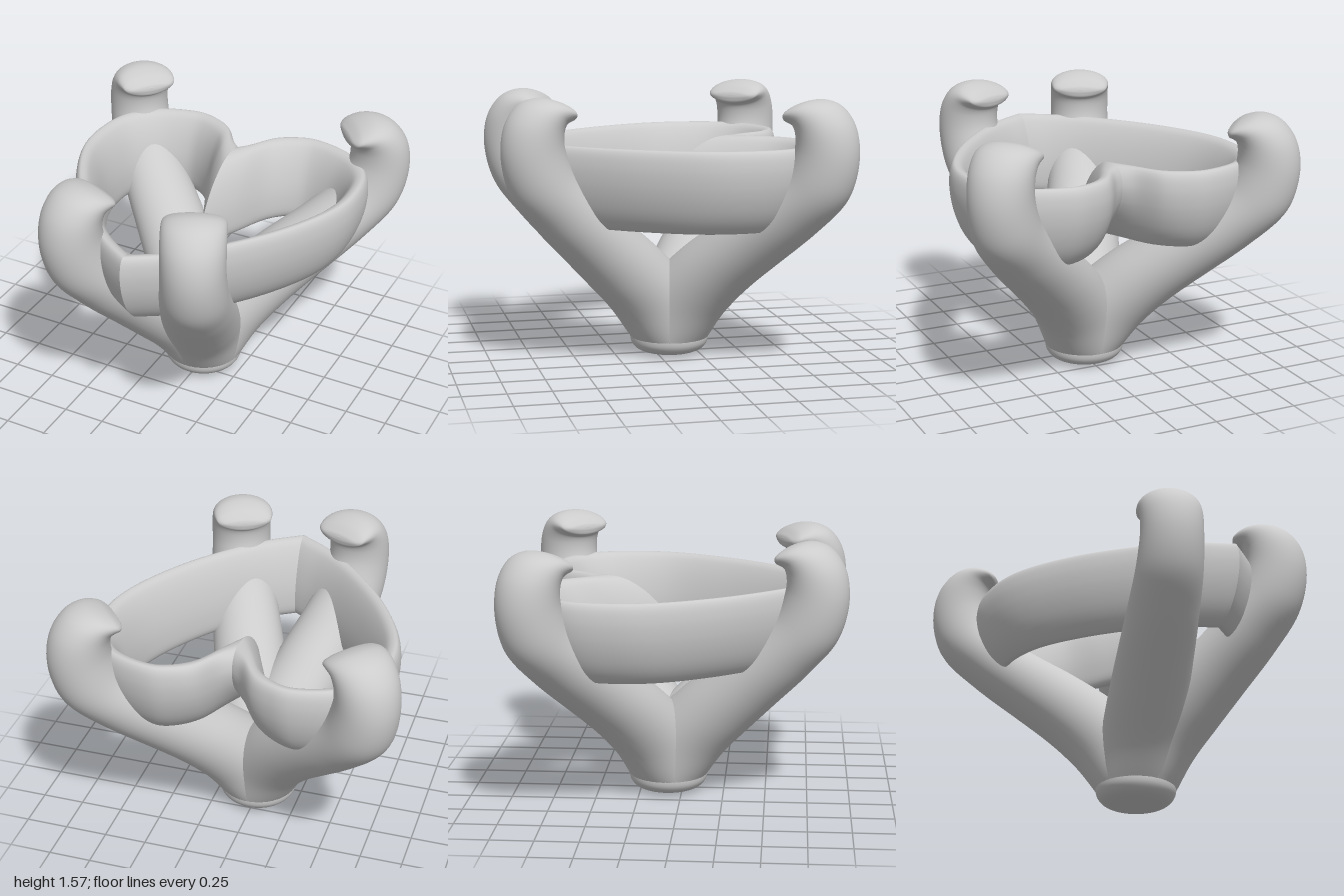
import * as THREE from 'three';

const V = (x, y, z) => new THREE.Vector3(x, y, z);
const BASE_Z = -0.085;
const material = new THREE.MeshStandardMaterial({ color: 0xcccccc, side: THREE.DoubleSide });

// Skin a list of closed rings (arrays of Vector3) with smooth normals
function loft(rings, flip = false) {
  const n = rings[0].length, pos = [], index = [];
  rings.forEach(ring => ring.forEach(p => pos.push(p.x, p.y, p.z)));
  for (let i = 0; i < rings.length - 1; i++) {
    for (let j = 0; j < n; j++) {
      const a = i * n + j, b = i * n + (j + 1) % n, c = b + n, d = a + n;
      if (flip) index.push(a, d, b, b, d, c);
      else index.push(a, b, d, b, c, d);
    }
  }
  const g = new THREE.BufferGeometry();
  g.setAttribute('position', new THREE.Float32BufferAttribute(pos, 3));
  g.setIndex(index);
  g.computeVertexNormals();
  return g;
}

function add(group, name, geometry) {
  const mesh = new THREE.Mesh(geometry, material);
  mesh.name = name;
  group.add(mesh);
  return mesh;
}

// Prong stations: inner radius, inner y, outer radius, outer y, half width
const STATIONS = [
  [-0.235, 0.1, 0.235, 0.1, 0.235],
  [-0.15, 0.38, 0.355, 0.26, 0.235],
  [0.1, 0.64, 0.52, 0.43, 0.23],
  [0.33, 0.83, 0.68, 0.59, 0.22],
  [0.55, 1.0, 0.9, 0.81, 0.205],
  [0.71, 1.16, 1.07, 1.02, 0.19],
  [0.77, 1.3, 1.13, 1.25, 0.18],
  [0.775, 1.38, 1.1, 1.43, 0.18],
  [0.765, 1.415, 1.01, 1.54, 0.18],
  [0.752, 1.425, 0.9, 1.573, 0.178],
  [0.735, 1.435, 0.8, 1.55, 0.165],
  [0.727, 1.46, 0.745, 1.51, 0.12],
  [0.728, 1.485, 0.728, 1.485, 0],
];
const innerCurve = new THREE.CatmullRomCurve3(STATIONS.map(s => V(s[0], s[1], s[4])));
const outerCurve = new THREE.CatmullRomCurve3(STATIONS.map(s => V(s[2], s[3], s[4])));

// Hooked prong leaning along (dx, dz); reach pushes the upper part outwards
function prong(dx, dz, reach) {
  const len = Math.hypot(dx, dz), rx = dx / len, rz = dz / len;
  const rings = [], steps = 96, sides = 40;
  for (let i = 0; i <= steps; i++) {
    const a = innerCurve.getPoint(i / steps), b = outerCurve.getPoint(i / steps);
    const w = Math.max(0, a.z), ring = [];
    const shift = reach * THREE.MathUtils.smoothstep((a.y + b.y) / 2, 0.45, 1.15);
    for (let j = 0; j < sides; j++) {
      const t = j / sides * Math.PI * 2, c = Math.cos(t), s = Math.sin(t) * w;
      const r = (a.x + b.x) / 2 + (b.x - a.x) / 2 * c + shift;
      const y = (a.y + b.y) / 2 + (b.y - a.y) / 2 * c;
      ring.push(V(rx * r + rz * s, y, BASE_Z + rz * r - rx * s));
    }
    rings.push(ring);
  }
  return loft(rings);
}

// Half heart plan from cleft to tip: outer x, outer z, inner x, inner z
const HEART = [
  [0, -0.58, 0, -0.05], [0.06, -0.63, 0.1, -0.28], [0.16, -0.76, 0.21, -0.515],
  [0.27, -0.82, 0.32, -0.62], [0.4, -0.845, 0.41, -0.65], [0.68, -0.755, 0.56, -0.6],
  [0.83, -0.585, 0.66, -0.48], [0.877, -0.32, 0.69, -0.32], [0.845, -0.1, 0.66, -0.1],
  [0.68, 0.24, 0.51, 0.19], [0.43, 0.565, 0.29, 0.47], [0.22, 0.77, 0.13, 0.61],
  [0, 0.915, 0, 0.69],
];
// Band section: share of the way from outer to inner line, height
const SECTION = [
  [0.12, 1.293], [0.03, 1.25], [0, 1.18], [0.06, 1.08], [0.3, 0.945], [0.68, 0.845],
  [0.88, 0.83], [1, 0.88], [0.98, 1.0], [0.8, 1.15], [0.5, 1.27], [0.28, 1.3],
];

function heartHalf(side) {
  const outer = new THREE.CatmullRomCurve3(HEART.map(h => V(h[0], 0, h[1])));
  const inner = new THREE.CatmullRomCurve3(HEART.map(h => V(h[2], 0, h[3])));
  const section = new THREE.CatmullRomCurve3(SECTION.map(s => V(s[0], s[1], 0)), true).getPoints(48);
  section.pop();
  const rings = [], steps = 96;
  for (let i = 0; i <= steps; i++) {
    const o = outer.getPoint(i / steps), n = inner.getPoint(i / steps);
    rings.push(section.map(s => {
      const p = o.clone().lerp(n, s.x);
      return V(side * p.x, s.y, p.z);
    }));
  }
  return loft(rings, side > 0);
}

export function createModel() {
  const model = new THREE.Group();
  model.name = 'heartSetting';

  // Rounded foot
  const foot = [[0, 0], [0.12, 0.005], [0.19, 0.025], [0.225, 0.06], [0.235, 0.1], [0.23, 0.13]];
  const curve = new THREE.SplineCurve(foot.map(p => new THREE.Vector2(...p)));
  const base = add(model, 'foot', new THREE.LatheGeometry(curve.getPoints(24), 64));
  base.position.z = BASE_Z;

  // Mirrored prongs and halves of the heart band
  for (const side of [1, -1]) {
    const label = side > 0 ? 'left' : 'right';
    add(model, label + 'FrontProng', prong(side * 0.375, 0.865, 0));
    add(model, label + 'BackProng', prong(side * 0.81, -0.695, 0.125));
    add(model, label + 'HeartBand', heartHalf(side));
  }
  return model;
}
